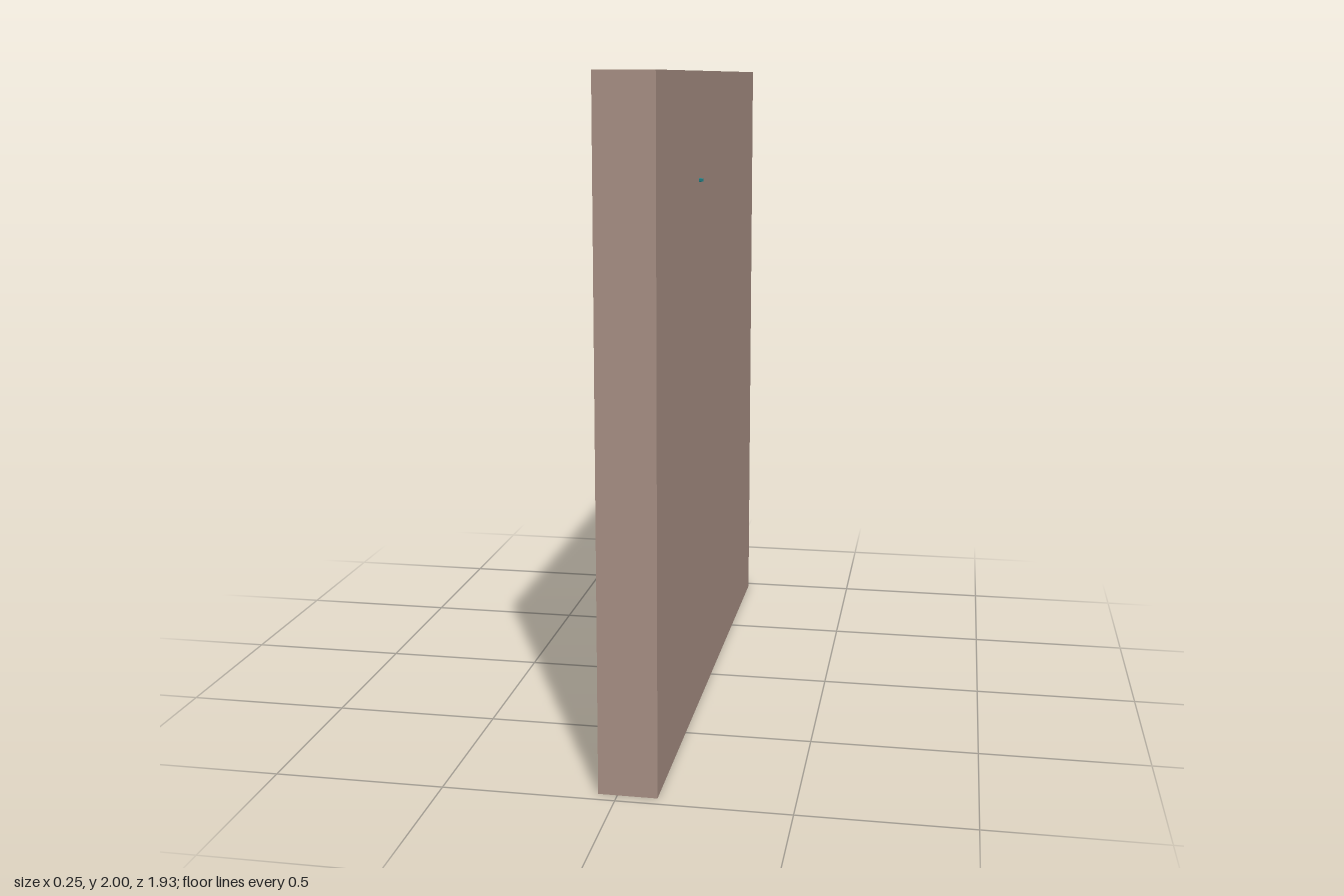
import * as THREE from 'three';

const mat = (color, flatShading = true) => new THREE.MeshStandardMaterial({ color, flatShading, side: THREE.DoubleSide });
const WOOD = mat(0xa58d82), TEAL = mat(0x5a9bab), RED = mat(0xd9736b), PAGE = mat(0xc9d3cc);
const DARK = mat(0x5d4a40), GREY = mat(0x8f9a9c), GREEN = mat(0x5f9f66), LIME = mat(0x90cf94);
const GOLD = mat(0xa58a1c), DEEP = mat(0x1f7f86), WHITE = mat(0xe0dcd2), INK = mat(0x3a4143);

// Shelf layout: open side faces -x, columns run along z, rows run up y
const COL = [-0.94, -0.47, 0.01, 0.49];
const FLOOR = [0.06, 0.455, 0.85, 1.245, 1.64];
const CELL = 0.45;

function add(parent, name, geo, material, x = 0, y = 0, z = 0) {
  const m = new THREE.Mesh(geo, material);
  m.name = name;
  m.position.set(x, y, z);
  parent.add(m);
  return m;
}
const box = (p, name, w, h, d, m, x, y, z) => add(p, name, new THREE.BoxGeometry(w, h, d), m, x, y, z);
function group(parent, name, x = 0, y = 0, z = 0) {
  const g = new THREE.Group();
  g.name = name;
  g.position.set(x, y, z);
  parent.add(g);
  return g;
}
// Thin rod between two points
function rod(parent, name, a, b, r, material, r2 = r) {
  const A = new THREE.Vector3(...a), B = new THREE.Vector3(...b);
  const m = add(parent, name, new THREE.CylinderGeometry(r2, r, A.distanceTo(B), 6), material);
  m.position.copy(A).add(B).multiplyScalar(0.5);
  m.quaternion.setFromUnitVectors(new THREE.Vector3(0, 1, 0), B.sub(A).normalize());
  return m;
}

let seed = 7;
const rand = () => (seed = (seed * 16807) % 2147483647) / 2147483647;

// Standing book: U-shaped cover with its spine at -x, pages set in
function book(parent, t, h, d, cover = TEAL) {
  const g = group(parent, 'book');
  const c = 0.006, a = t / 2, s = new THREE.Shape();
  [[0, -a], [d, -a], [d, -a + c], [c, -a + c], [c, a - c], [d, a - c], [d, a], [0, a]]
    .forEach(([x, y], i) => (i ? s.lineTo(x, y) : s.moveTo(x, y)));
  const geo = new THREE.ExtrudeGeometry(s, { depth: h, bevelEnabled: false });
  add(g, 'bookCover', geo.rotateX(-Math.PI / 2), cover);
  box(g, 'bookPages', d - 0.012, h - 0.012, t - 2 * c, PAGE, d / 2, h / 2, 0);
  return g;
}

// Row of standing books, tops leaning towards -z
function bookRow(parent, col, row, { n = 6, h = 0.31, lean = 0, from = 0.01, to = CELL - 0.03 }) {
  const g = group(parent, 'bookRow', 0, FLOOR[row], COL[col] + from);
  const pitch = (to - from) / n;
  for (let i = 0; i < n; i++) {
    const t = pitch * Math.cos(lean) - 0.004;
    const b = book(g, t, h - rand() * 0.03, 0.13 - rand() * 0.01);
    b.position.set(-0.047 + rand() * 0.012, (t / 2) * Math.sin(lean), pitch * (i + 0.5));
    b.rotation.x = -lean;
  }
}

// Stack of books lying flat
function bookStack(parent, z, y, sizes, cover = TEAL) {
  const g = group(parent, 'bookStack', -0.047, y, z);
  let top = 0;
  for (const [t, len, shift] of sizes) {
    const b = book(g, t - 0.002, len, 0.13, cover);
    b.rotation.x = Math.PI / 2;
    b.position.set(rand() * 0.012, top + t / 2, shift);
    top += t;
  }
}

function bookcase(root) {
  const g = group(root, 'bookcase');
  box(g, 'backPanel', 0.015, 2, 1.93, WOOD, 0.1075, 1, 0);
  for (const s of [-1, 1]) box(g, 'sidePanel', 0.155, 2, 0.025, WOOD, 0.0225, 1, s * 0.9525);
  box(g, 'topPanel', 0.155, 0.03, 1.88, WOOD, 0.0225, 1.985, 0);
  box(g, 'basePanel', 0.155, 0.06, 1.88, WOOD, 0.0225, 0.03, 0);
  FLOOR.slice(1).forEach(y => box(g, 'shelf', 0.153, 0.02, 1.88, WOOD, 0.0235, y - 0.01, 0));
  COL.slice(1).forEach(z => box(g, 'divider', 0.155, 1.91, 0.02, WOOD, 0.0225, 1.015, z - 0.012));
}

// Octagonal saucer on thin legs
function saucer(root) {
  const g = group(root, 'saucer', -0.002, 1.675, 0.255);
  const lathe = (name, pts, m) => add(g, name, new THREE.LatheGeometry(pts.map(p => new THREE.Vector2(...p)), 8), m);
  lathe('saucerHull', [[0.0, -0.035], [0.05, -0.032], [0.122, -0.004], [0.122, 0.004], [0.05, 0.033], [0, 0.035]], GREY);
  lathe('saucerRim', [[0.112, -0.007], [0.127, -0.004], [0.127, 0.004], [0.112, 0.008]], DEEP);
  add(g, 'saucerDome', new THREE.SphereGeometry(0.045, 8, 4, 0, Math.PI * 2, 0, Math.PI / 2), GREY, 0, 0.03, 0);
  add(g, 'saucerKnob', new THREE.CylinderGeometry(0.004, 0.01, 0.022, 6), INK, 0, 0.08, 0);
  for (let i = 0; i < 8; i++) {
    const a = (i * Math.PI) / 4, c = Math.cos(a), s = Math.sin(a);
    add(g, 'saucerLight', new THREE.SphereGeometry(0.006, 6, 4), INK, 0.09 * c, 0.017, 0.09 * s);
    if (i % 2) rod(g, 'saucerLeg', [0.05 * c, -0.02, 0.05 * s], [0.085 * c, -0.037, 0.085 * s], 0.004, DEEP);
  }
}

// Tilted counting frame with coloured beads
function abacus(root) {
  const g = group(root, 'abacus', 0.0, 1.25, -0.16);
  g.rotation.z = -0.3;
  g.rotation.y = 0.12;
  for (const s of [-1, 1]) {
    box(g, 'abacusPost', 0.012, 0.22, 0.012, DARK, 0, 0.11, s * 0.115);
    box(g, 'abacusFoot', 0.06, 0.01, 0.012, DARK, 0, 0.006, s * 0.115);
  }
  for (const y of [0.012, 0.215]) box(g, 'abacusRail', 0.012, 0.012, 0.23, DARK, 0, y, 0);
  const colors = [GREEN, WHITE, RED, WHITE, RED];
  for (let r = 0; r < 5; r++) {
    const y = 0.045 + r * 0.035;
    rod(g, 'abacusWire', [0, y, -0.115], [0, y, 0.115], 0.002, DARK);
    for (let i = 0; i < 6; i++) {
      const z = -0.09 + i * 0.02 + (i > 1 + (r % 3) ? 0.075 : 0);
      add(g, 'abacusBead', new THREE.SphereGeometry(0.0115, 6, 4), colors[r], 0, y, z);
    }
  }
}

function cactus(root) {
  const g = group(root, 'cactus', -0.01, 1.245, -0.405);
  add(g, 'cactusPot', new THREE.CylinderGeometry(0.04, 0.03, 0.08, 8), GREY, 0, 0.04, 0);
  add(g, 'cactusStem', new THREE.CapsuleGeometry(0.02, 0.1, 3, 8), DEEP, 0, 0.135, 0);
  for (const s of [-1, 1]) {
    rod(g, 'cactusArm', [0, 0.11, 0], [-0.012 * s, 0.12, 0.035 * s], 0.009, DEEP);
    add(g, 'cactusArmTip', new THREE.CapsuleGeometry(0.01, 0.04, 2, 6), DEEP, -0.015 * s, 0.14, 0.037 * s);
  }
}

// Leaf: flattened sphere on a stalk
function leaf(g, from, to, size, m) {
  rod(g, 'leafStalk', from, to, 0.004, GREEN);
  const l = add(g, 'leaf', new THREE.SphereGeometry(1, 7, 4), m, ...to);
  l.scale.set(...size);
  return l;
}

function pottedPlant(root) {
  const g = group(root, 'pottedPlant', 0.005, 0.85, -0.77);
  add(g, 'plantPot', new THREE.CylinderGeometry(0.055, 0.036, 0.07, 6), GOLD, 0, 0.035, 0);
  add(g, 'plantPotRim', new THREE.CylinderGeometry(0.062, 0.062, 0.018, 6), GOLD, 0, 0.075, 0);
  rod(g, 'plantStem', [0, 0.07, 0], [0, 0.2, -0.02], 0.006, GREEN);
  leaf(g, [0, 0.11, 0], [-0.01, 0.17, 0.05], [0.04, 0.016, 0.055], LIME);
  leaf(g, [0, 0.1, 0], [-0.005, 0.15, -0.065], [0.03, 0.016, 0.045], GREEN);
  leaf(g, [0, 0.12, 0], [0.045, 0.2, 0.01], [0.035, 0.016, 0.04], GREEN);
  leaf(g, [0, 0.2, -0.02], [0, 0.245, -0.06], [0.022, 0.05, 0.016], GREEN);
}

// Small tree in a tray, on top of the red books
function bonsai(root) {
  const g = group(root, 'bonsai', 0.01, 1.325, 0.65);
  box(g, 'bonsaiTray', 0.08, 0.028, 0.13, DEEP, 0, 0.014, 0);
  const trunk = [[0, 0.02, 0], [0, 0.06, -0.02], [0, 0.11, 0.015], [0, 0.165, 0]].map(p => new THREE.Vector3(...p));
  add(g, 'bonsaiTrunk', new THREE.TubeGeometry(new THREE.CatmullRomCurve3(trunk), 8, 0.008, 6), DARK);
  leaf(g, [0, 0.07, -0.01], [-0.01, 0.085, -0.05], [0.03, 0.013, 0.035], GREEN);
  leaf(g, [0, 0.1, 0.01], [0, 0.115, 0.055], [0.03, 0.013, 0.035], GREEN);
  leaf(g, [0, 0.15, 0], [0, 0.17, 0], [0.035, 0.016, 0.045], GREEN);
}

export function createModel() {
  const root = new THREE.Group();
  root.name = 'filledBookcase';
  bookcase(root);

  // Standing and leaning rows
  for (let c = 0; c < 4; c++) bookRow(root, c, 0, { h: 0.33 });
  bookRow(root, 1, 1, { h: 0.32, lean: 0.07, from: 0.03 });
  bookRow(root, 3, 1, { h: 0.32 });
  bookRow(root, 1, 2, { h: 0.28, lean: 0.2, from: 0.03, to: 0.4, n: 5 });
  bookRow(root, 2, 2, { h: 0.31 });
  bookRow(root, 3, 2, { h: 0.3, from: 0.2, to: 0.42, n: 2 });
  bookRow(root, 0, 3, { h: 0.31 });
  bookRow(root, 0, 4, { h: 0.25, lean: 0.22, from: 0.06, to: 0.42 });
  bookRow(root, 1, 4, { h: 0.29 });
  bookRow(root, 3, 4, { h: 0.28, to: 0.4 });

  // Flat stacks: thickness, length, shift along the shelf
  bookStack(root, COL[0] + 0.01, FLOOR[1], [[0.07, 0.38, 0], [0.06, 0.36, 0.01], [0.065, 0.28, 0.02], [0.05, 0.25, 0.03]]);
  bookStack(root, COL[2] + 0.01, FLOOR[1], [[0.065, 0.4, 0], [0.06, 0.38, 0.02], [0.07, 0.34, 0.02], [0.065, 0.3, 0.05]]);
  bookStack(root, COL[3] + 0.005, FLOOR[2], [[0.06, 0.18, 0], [0.06, 0.17, 0.005], [0.055, 0.16, 0.01]]);
  bookStack(root, COL[2] + 0.01, FLOOR[3], [[0.065, 0.27, 0], [0.06, 0.25, 0.0], [0.06, 0.19, 0.01]]);
  bookStack(root, COL[3] + 0.03, FLOOR[3], [[0.03, 0.29, 0], [0.028, 0.27, 0.01], [0.022, 0.24, 0.02]], RED);

  saucer(root);
  abacus(root);
  cactus(root);
  pottedPlant(root);
  bonsai(root);
  return root;
}
